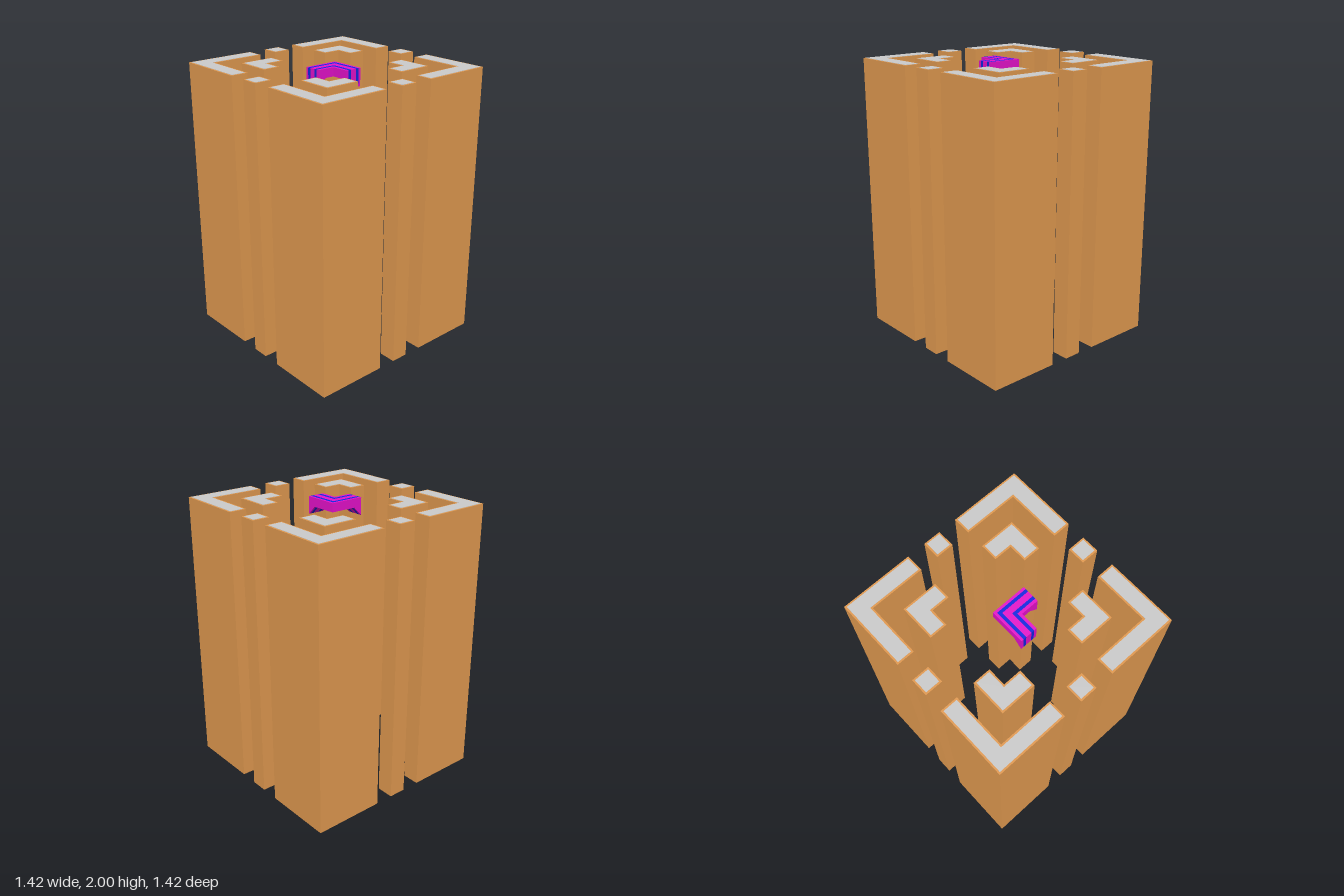
import * as THREE from 'three';

const mat = (color) => new THREE.MeshStandardMaterial({ color, flatShading: true });
const HEIGHT = 2, RIM = 0.012, CAP = 0.002;
const OUT = 0.708, POST = 0.063, END = 0.195, THICK = 0.126;

// Corner (L-shaped) outline in the +x +y quadrant, shrunk by d
function cornerShape(outer, d) {
  const e = END + d, t = outer - THICK + d, o = outer - d;
  return [[e, t], [t, t], [t, e], [o, e], [o, o], [e, o]];
}

// Square outline on the +x axis, shrunk by d
function postShape(d) {
  const a = OUT - THICK + d, b = OUT - d, h = POST - d;
  return [[a, -h], [b, -h], [b, h], [a, h]];
}

// Upright prism over a floor outline, from y0 to y1
function prism(points, y0, y1) {
  const shape = new THREE.Shape(points.map(([x, y]) => new THREE.Vector2(x, y)));
  return new THREE.ExtrudeGeometry(shape, { depth: y1 - y0, bevelEnabled: false })
    .rotateX(-Math.PI / 2).translate(0, y0, 0);
}

// One striped strip of a bracket arm, mitred where the two arms meet
function armStrip(z0, z1, mitre) {
  const end = 0.193, top = HEIGHT, under = 1.9375, foot = 1.875;
  const shape = new THREE.Shape([[0, under], [0.13, under], [end, foot], [end, top], [0, top]]
    .map(([x, y]) => new THREE.Vector2(x, y)));
  const geo = new THREE.ExtrudeGeometry(shape, { depth: z1 - z0, bevelEnabled: false }).translate(0, 0, z0);
  const p = geo.attributes.position;
  for (let i = 0; i < p.count; i++) if (Math.abs(p.getX(i)) < 1e-5) p.setX(i, mitre * p.getZ(i));
  return geo;
}

export function createModel() {
  const model = new THREE.Group();
  const wood = mat(0xe29a50), grey = mat(0xcccccc), pink = mat(0xe612cc), blue = mat(0x1028e0);

  // Four-fold ring of pillars, each with an inset grey cap
  const pillars = [
    ['outerCorner', (d) => cornerShape(OUT, d)],
    ['innerCorner', (d) => cornerShape(0.45, d)],
    ['sidePost', postShape],
  ];
  for (const [name, outline] of pillars) {
    const body = prism(outline(0), 0, HEIGHT - CAP);
    const cap = prism(outline(RIM), HEIGHT - 2 * CAP, HEIGHT);
    for (let i = 0; i < 4; i++) {
      const pillar = new THREE.Group();
      pillar.name = name;
      const bodyMesh = new THREE.Mesh(body, wood);
      bodyMesh.name = name + 'Body';
      const capMesh = new THREE.Mesh(cap, grey);
      capMesh.name = name + 'Cap';
      pillar.add(bodyMesh, capMesh);
      pillar.rotation.y = i * Math.PI / 2;
      model.add(pillar);
    }
  }

  // Striped bracket in the middle, with arms to +x and +z
  const bracket = new THREE.Group();
  bracket.name = 'stripedBracket';
  const cuts = [-0.063, -0.045, -0.023, 0.02, 0.042, 0.063];
  for (let i = 0; i < 5; i++) {
    const geos = [
      armStrip(cuts[i], cuts[i + 1], 1),
      armStrip(-cuts[i + 1], -cuts[i], -1).rotateY(-Math.PI / 2),
    ];
    for (const geo of geos) {
      const strip = new THREE.Mesh(geo, i % 2 ? blue : pink);
      strip.name = i % 2 ? 'blueStripe' : 'pinkStripe';
      bracket.add(strip);
    }
  }
  model.add(bracket);
  return model;
}
